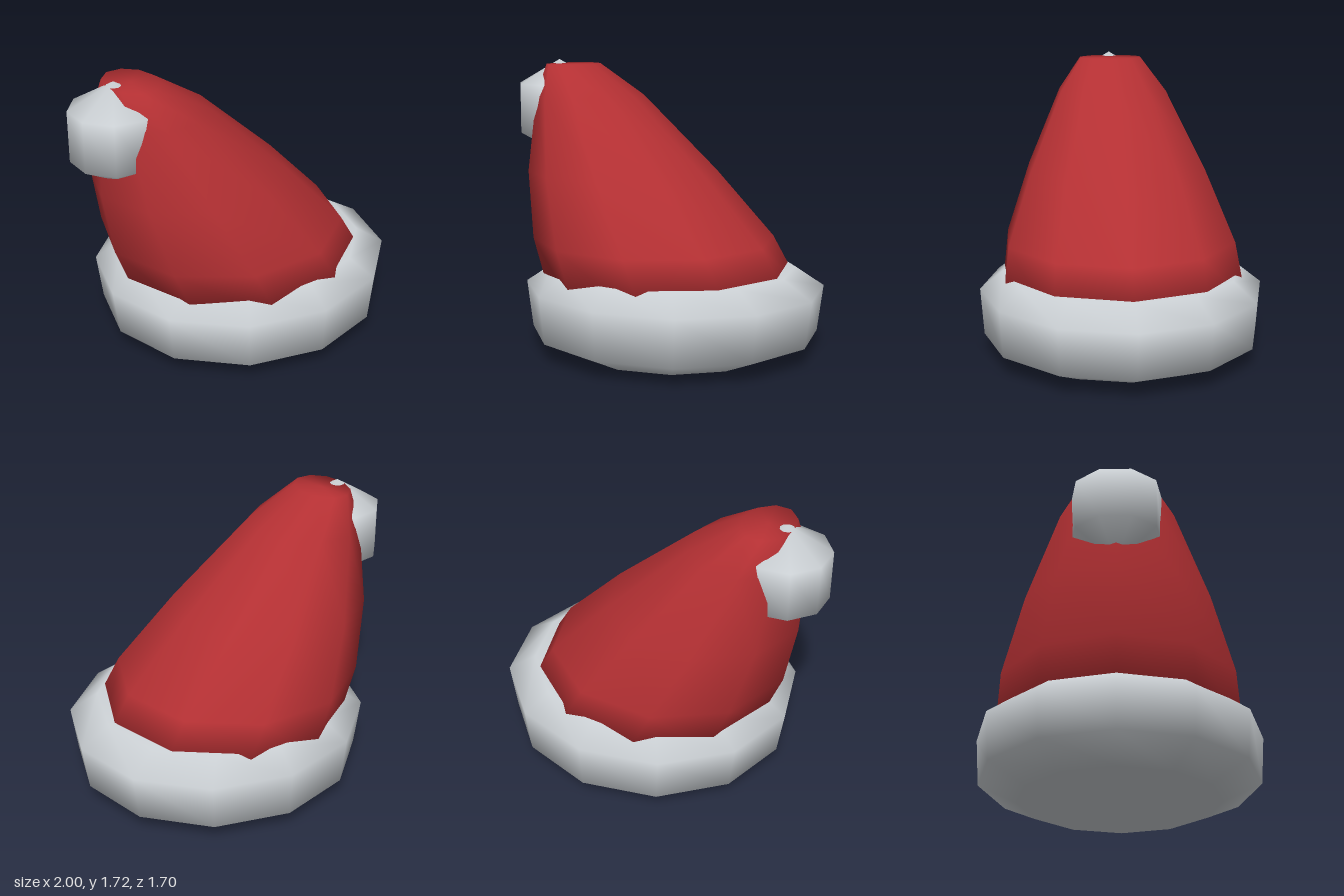
import * as THREE from 'three';

const red = new THREE.MeshStandardMaterial({ color: 0xb43033 });
red.name = 'red felt';
const white = new THREE.MeshStandardMaterial({ color: 0xced3d7 });
white.name = 'white fur';

// Smooth closed loft through elliptical rings, each [y, centreX, radiusX, radiusZ], bottom to top.
function loft(rings, sides) {
  const positions = [];
  const index = [];
  for (const [y, cx, rx, rz] of rings) {
    for (let j = 0; j < sides; j++) {
      const a = (j / sides) * Math.PI * 2;
      positions.push(cx + rx * Math.cos(a), y, rz * Math.sin(a));
    }
  }
  const last = rings.length - 1;
  const bottom = rings.length * sides;
  const top = bottom + 1;
  positions.push(rings[0][1], rings[0][0], 0, rings[last][1], rings[last][0], 0);
  for (let j = 0; j < sides; j++) {
    const k = (j + 1) % sides;
    for (let i = 0; i < last; i++) {
      const lo = i * sides;
      const hi = lo + sides;
      index.push(lo + j, hi + j, hi + k, lo + j, hi + k, lo + k);
    }
    index.push(bottom, j, k, top, last * sides + k, last * sides + j);
  }
  const geometry = new THREE.BufferGeometry();
  geometry.setAttribute('position', new THREE.Float32BufferAttribute(positions, 3));
  geometry.setIndex(index);
  geometry.computeVertexNormals();
  return geometry;
}

function addPart(group, name, geometry, material) {
  const mesh = new THREE.Mesh(geometry, material);
  mesh.name = name;
  group.add(mesh);
  return mesh;
}

export function createModel() {
  const hat = new THREE.Group();
  hat.name = 'hat';

  // Fur band around the base
  addPart(hat, 'brim', loft([
    [0, 0.08, 0.615, 0.6],
    [0.11, 0.085, 0.875, 0.83],
    [0.39, 0.085, 0.915, 0.85],
    [0.5, 0.08, 0.74, 0.71],
  ], 12), white);

  // Cone leaning towards the right
  addPart(hat, 'cone', loft([
    [0.35, 0.095, 0.775, 0.75],
    [0.66, -0.06, 0.74, 0.71],
    [1.05, -0.285, 0.585, 0.56],
    [1.5, -0.525, 0.325, 0.345],
    [1.69, -0.65, 0.15, 0.2],
  ], 10), red);

  // Bobble half sunk into the tip
  const bobble = addPart(hat, 'bobble', new THREE.SphereGeometry(0.3, 9, 3), white);
  bobble.position.set(-0.76, 1.415, 0);
  bobble.rotation.y = Math.PI;

  return hat;
}
